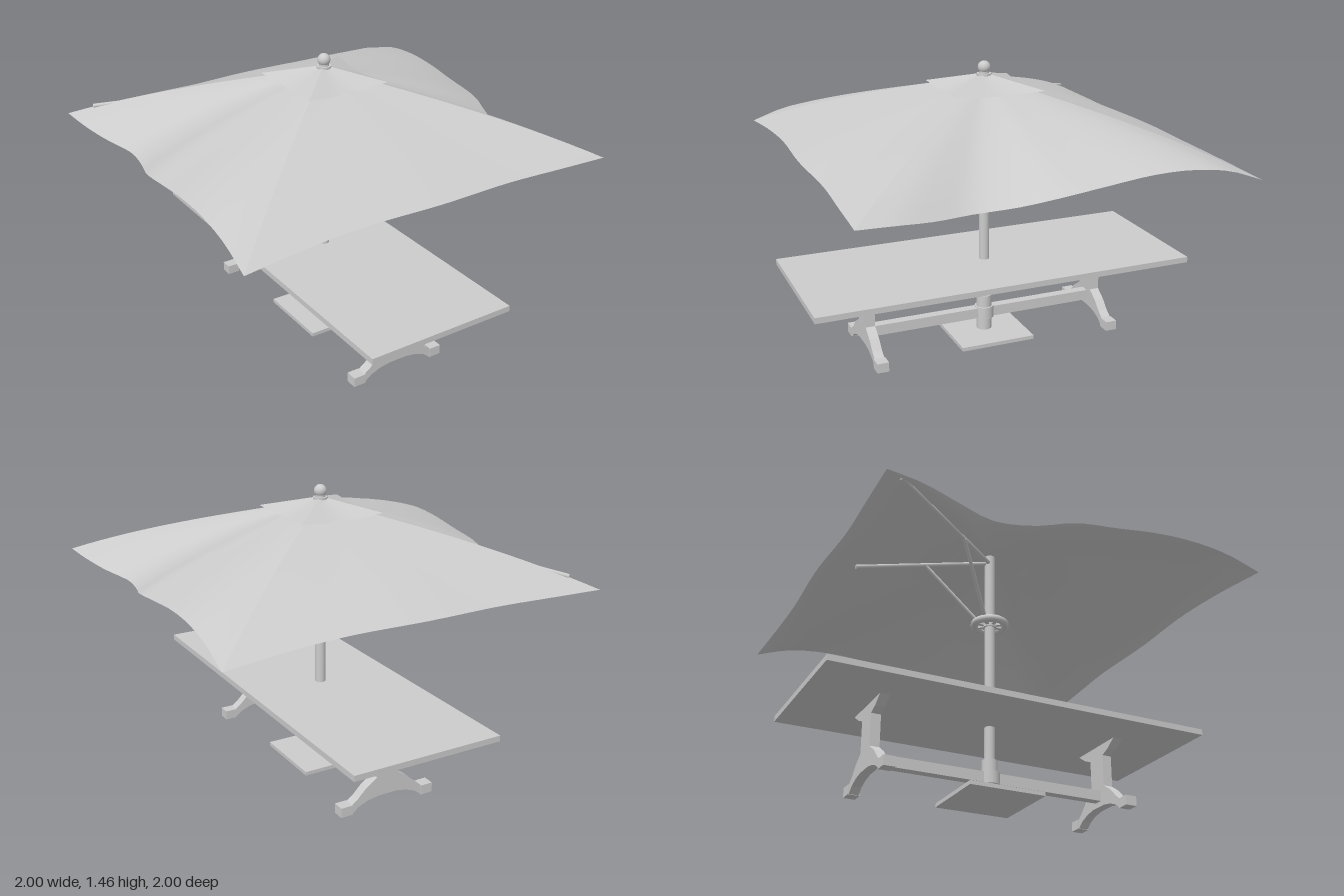
import * as THREE from 'three';

const grey = new THREE.MeshStandardMaterial({ color: 0xcccccc });
const cloth = new THREE.MeshStandardMaterial({ color: 0xcccccc, side: THREE.DoubleSide });
const CZ = -0.01; // z of the pole axis

function add(parent, name, geometry, x = 0, y = 0, z = 0, material = grey) {
  const mesh = new THREE.Mesh(geometry, material);
  mesh.name = name;
  mesh.position.set(x, y, z);
  parent.add(mesh);
  return mesh;
}

const box = (w, h, d) => new THREE.BoxGeometry(w, h, d);
const cyl = (r, h, n = 24) => new THREE.CylinderGeometry(r, r, h, n);

// Round bar between two points
function bar(parent, name, from, to, r) {
  const a = new THREE.Vector3(...from), b = new THREE.Vector3(...to);
  const dir = b.clone().sub(a);
  const mesh = add(parent, name, cyl(r, dir.length(), 10));
  mesh.position.copy(a).add(b).multiplyScalar(0.5);
  mesh.quaternion.setFromUnitVectors(new THREE.Vector3(0, 1, 0), dir.normalize());
}

// Cloth panel from the apex to a wavy edge; height(t, edgeY) gives the slope
function panel(edge, rings, steps, height) {
  const curve = new THREE.CatmullRomCurve3(edge.map(p => new THREE.Vector3(...p)));
  const pts = curve.getSpacedPoints(steps);
  const pos = [], index = [];
  for (let i = 0; i <= rings; i++) {
    const t = i / rings;
    for (const p of pts) pos.push(p.x * t, height(t, p.y), CZ + (p.z - CZ) * t);
  }
  const row = steps + 1;
  for (let i = 0; i < rings; i++) {
    for (let j = 0; j < steps; j++) {
      const a = i * row + j, b = a + row;
      if (i > 0) index.push(a, a + 1, b);
      index.push(a + 1, b + 1, b);
    }
  }
  const g = new THREE.BufferGeometry();
  g.setAttribute('position', new THREE.Float32BufferAttribute(pos, 3));
  g.setIndex(index);
  g.computeVertexNormals();
  return g;
}

// Half turn about the pole axis
const halfTurn = edge => edge.map(([x, y, z]) => [-x, y, 2 * CZ - z]);

function cover(parent, name, sides, rings, steps, height) {
  const group = new THREE.Group();
  group.name = name;
  for (const side of sides)
    for (const edge of [side, halfTurn(side)])
      add(group, name + 'Panel', panel(edge, rings, steps, height), 0, 0, 0, cloth);
  parent.add(group);
}

function trestle() {
  const half = [
    [0.17, 0.385], [0.11, 0.345], [0.06, 0.325], [0.06, 0.16], [0.12, 0.12], [0.165, 0.075],
    [0.2, 0.05], [0.26, 0.05], [0.26, 0], [0.2, 0], [0.16, 0.03], [0.11, 0.05], [0.05, 0.06],
  ];
  const outline = [...half, ...half.map(([x, y]) => [-x, y]).reverse()];
  const shape = new THREE.Shape(outline.map(p => new THREE.Vector2(...p)));
  const g = new THREE.ExtrudeGeometry(shape, { depth: 0.05, bevelEnabled: false });
  return g.translate(0, 0, -0.025);
}

export function createModel() {
  const model = new THREE.Group();
  model.name = 'parasolTable';

  // Table on two trestles joined by a stretcher
  add(model, 'tableTop', box(0.8, 0.03, 2), 0, 0.4, 0);
  for (const s of [-1, 1]) {
    add(model, 'trestleLeg', trestle(), 0, 0, s * 0.637);
    for (const x of [-0.23, 0.23]) add(model, 'footPad', box(0.065, 0.05, 0.06), x, 0.025, s * 0.637);
  }
  add(model, 'stretcher', box(0.05, 0.055, 1.24), 0, 0.115, 0);

  // Parasol stand and pole
  add(model, 'basePlate', box(0.4, 0.02, 0.4), 0, 0.01, CZ);
  add(model, 'poleSocket', cyl(0.04, 0.21), 0, 0.105, CZ);
  add(model, 'socketCollar', cyl(0.05, 0.065), 0, 0.115, CZ);
  add(model, 'pole', cyl(0.027, 1.2), 0, 0.77, CZ);

  // Sliding hub: ring, sleeve and spokes
  const hub = new THREE.Group();
  hub.name = 'runnerHub';
  hub.position.set(0, 0.965, CZ);
  const ring = new THREE.TorusGeometry(0.08, 0.02, 10, 32).rotateX(Math.PI / 2);
  add(hub, 'hubRing', ring);
  add(hub, 'hubSleeve', cyl(0.036, 0.04));
  for (let i = 0; i < 4; i++)
    add(hub, 'hubSpoke', box(0.16, 0.025, 0.018)).rotation.y = i * Math.PI / 4;
  model.add(hub);

  // Ribs and their struts
  bar(model, 'cornerRib', [0, 1.335, CZ], [-0.87, 1.085, -0.87], 0.011);
  bar(model, 'cornerStrut', [-0.05, 0.97, -0.06], [-0.3, 1.245, -0.3], 0.009);
  bar(model, 'backRib', [0, 1.335, CZ], [0, 1.12, -0.76], 0.011);
  bar(model, 'backStrut', [0, 0.97, -0.08], [0, 1.225, -0.38], 0.009);

  // Main canopy, with a billowing edge on the sides
  const sideEdge = [
    [1, 1.015, -0.975], [0.99, 1.075, -0.8], [0.98, 1.1, -0.6], [0.97, 1.095, -0.4],
    [0.96, 1.07, -0.2], [0.95, 1.04, 0.03], [0.9, 1.005, 0.2], [0.87, 0.99, 0.4],
    [0.92, 1, 0.6], [0.96, 1.02, 0.78], [0.975, 1.03, 0.955],
  ];
  const frontEdge = [
    [0.975, 1.03, 0.955], [0.7, 1.035, 0.943], [0.4, 1.04, 0.93], [0, 1.045, 0.942],
    [-0.4, 1.045, 0.927], [-0.7, 1.035, 0.935], [-1, 1.015, 0.955],
  ];
  cover(model, 'canopy', [sideEdge, frontEdge], 16, 28,
    (t, y) => 1.385 - 0.36 * (0.8 * t + 0.2 * t ** 3) + (y - 1.025) * t * t);

  // Small vent cap over the apex
  const capSide = [[0.23, 1.335, -0.235], [0.21, 1.323, CZ], [0.225, 1.335, 0.212]];
  const capFront = [[0.225, 1.335, 0.212], [0, 1.318, 0.203], [-0.23, 1.335, 0.215]];
  cover(model, 'ventCap', [capSide, capFront], 6, 10, (t, y) => 1.4 - (1.4 - y) * t);

  // Finial
  add(model, 'finialCollar', cyl(0.037, 0.012), 0, 1.392, CZ);
  add(model, 'finialNeck', cyl(0.025, 0.03), 0, 1.4, CZ);
  add(model, 'finialBall', new THREE.SphereGeometry(0.032, 24, 16), 0, 1.428, CZ);

  return model;
}
